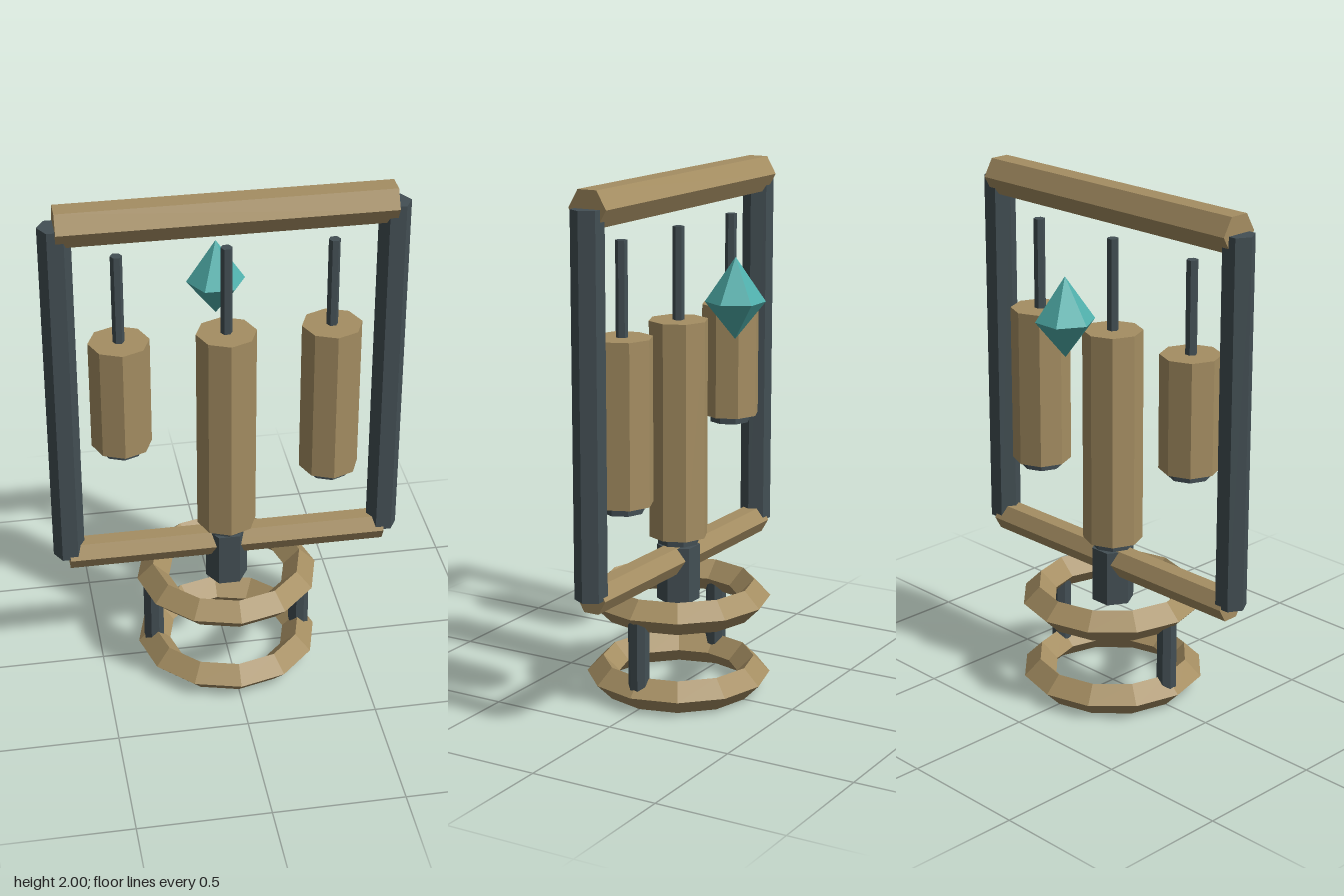
import * as THREE from 'three';

const material = (color) => new THREE.MeshStandardMaterial({ color, flatShading: true, roughness: 0.7 });

export function createModel() {
  const model = new THREE.Group();
  const bronze = material(0xa58e62);
  const iron = material(0x434f54);
  const teal = material(0x50b0ac);

  const add = (name, geometry, mat, x, y, z = 0) => {
    const mesh = new THREE.Mesh(geometry, mat);
    mesh.name = name;
    mesh.position.set(x, y, z);
    model.add(mesh);
    return mesh;
  };
  // Upright prism between two heights
  const prism = (name, mat, x, y0, y1, radius, sides, turn = 0) =>
    add(name, new THREE.CylinderGeometry(radius, radius, y1 - y0, sides).rotateY(turn), mat, x, (y0 + y1) / 2);
  // Horizontal hexagonal beam along x
  const beam = (name, y, radius) =>
    add(name, new THREE.CylinderGeometry(radius, radius, 1.23, 6).rotateZ(Math.PI / 2), bronze, 0, y);

  // Frame
  beam('topBeam', 1.934, 0.077);
  beam('bottomBeam', 0.528, 0.06);
  for (const [side, name] of [[1, 'left'], [-1, 'right']]) {
    prism(name + 'Post', iron, side * 0.615, 0.53, 1.934, 0.06, 6, Math.PI / 6);
    prism(name + 'BaseStrut', iron, side * 0.292, 0.063, 0.373, 0.04, 8, Math.PI / 8);
  }

  // Base: two diamond-section rings and the stem up to the frame
  for (const [name, y] of [['lowerRing', 0.064], ['upperRing', 0.373]]) {
    add(name, new THREE.TorusGeometry(0.291, 0.063, 4, 12).rotateX(Math.PI / 2), bronze, 0, y);
  }
  prism('stem', iron, 0, 0.36, 0.577, 0.082, 6, Math.PI / 6);

  // Hanging weights, each with a rod and an end cap
  for (const [name, x, bottom] of [['right', -0.398, 1.012], ['middle', 0, 0.615], ['left', 0.396, 0.835]]) {
    prism(name + 'Rod', iron, x, 1.44, 1.8, 0.022, 6, Math.PI / 6);
    prism(name + 'Weight', bronze, x, bottom, 1.45, 0.114, 8);
    prism(name + 'Cap', iron, x, bottom - 0.03, bottom + 0.02, 0.08, 8);
  }

  // Floating crystal behind the frame: two hexagonal cones
  const turn = Math.PI / 6;
  add('crystalTop', new THREE.ConeGeometry(0.112, 0.165, 6, 1, true).rotateY(turn), teal, 0, 1.6225, -0.242);
  add('crystalBottom', new THREE.ConeGeometry(0.112, 0.14, 6, 1, true).rotateX(Math.PI).rotateY(turn), teal, 0, 1.47, -0.242);

  return model;
}
